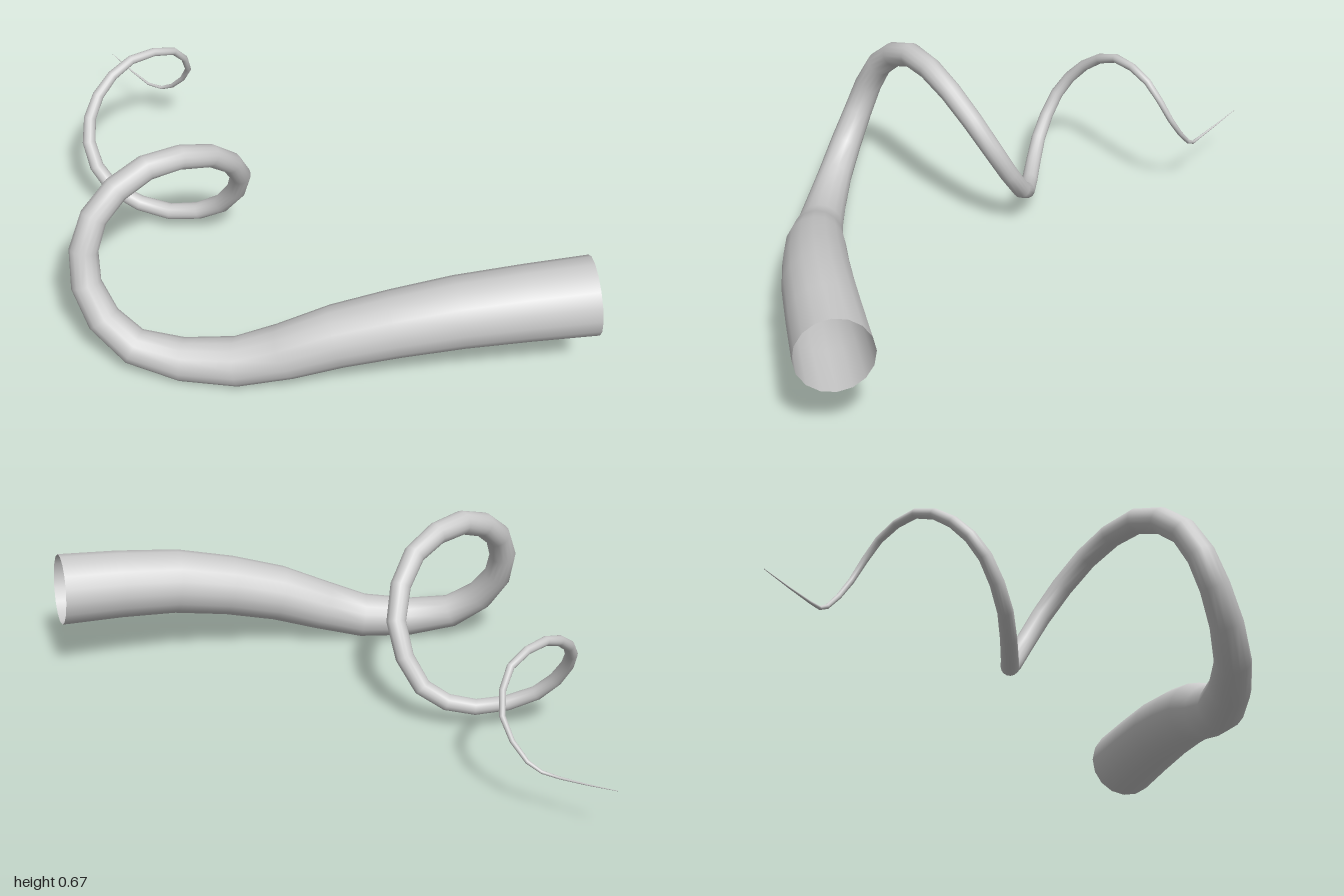
import * as THREE from 'three';

// Centre line from the thick open root to the pointed tip: x, y, z, radius
const PATH = [
  [0.85, 0.345, 0.862, 0.135],
  [0.40, 0.315, 0.835, 0.123],
  [0.00, 0.220, 0.780, 0.107],
  [-0.33, 0.095, 0.712, 0.085],
  [-0.66, 0.110, 0.595, 0.064],
  [-0.80, 0.300, 0.470, 0.053],
  [-0.755, 0.515, 0.385, 0.048],
  [-0.565, 0.635, 0.300, 0.045],
  [-0.335, 0.585, 0.205, 0.040],
  [-0.215, 0.390, 0.080, 0.036],
  [-0.27, 0.170, -0.045, 0.033],
  [-0.45, 0.093, -0.125, 0.030],
  [-0.65, 0.160, -0.215, 0.027],
  [-0.72, 0.310, -0.310, 0.024],
  [-0.67, 0.445, -0.405, 0.021],
  [-0.535, 0.530, -0.490, 0.017],
  [-0.37, 0.500, -0.565, 0.014],
  [-0.31, 0.360, -0.640, 0.011],
  [-0.365, 0.222, -0.735, 0.008],
  [-0.45, 0.185, -0.815, 0.005],
  [-0.57, 0.215, -1.000, 0.001],
];
const SIDES = 16;

// Tube whose rings follow the control points and shrink with their radii
function taperedTube(path, sides) {
  const spans = path.length - 1;
  const rings = spans * 2;
  const curve = new THREE.CatmullRomCurve3(
    path.map(([x, y, z]) => new THREE.Vector3(x, y, z)), false, 'catmullrom', 0.5);
  curve.getUtoTmapping = (u) => u; // two rings per span instead of even arc length

  const geometry = new THREE.TubeGeometry(curve, rings, 1, sides, false);
  const pos = geometry.attributes.position;
  const v = new THREE.Vector3();
  for (let i = 0; i <= rings; i++) {
    const centre = curve.getPoint(i / rings);
    const k = Math.min(Math.floor(i / 2), spans - 1);
    const radius = THREE.MathUtils.lerp(path[k][3], path[k + 1][3], i / 2 - k);
    for (let j = 0; j <= sides; j++) {
      const n = i * (sides + 1) + j;
      v.fromBufferAttribute(pos, n).sub(centre).multiplyScalar(radius).add(centre);
      pos.setXYZ(n, v.x, v.y, v.z);
    }
  }
  return geometry;
}

export function createModel() {
  const group = new THREE.Group();
  group.name = 'curledTentacle';
  const material = new THREE.MeshStandardMaterial({ color: 0xcccccc, side: THREE.DoubleSide });
  const tentacle = new THREE.Mesh(taperedTube(PATH, SIDES), material);
  tentacle.name = 'tentacle';
  group.add(tentacle);
  return group;
}
